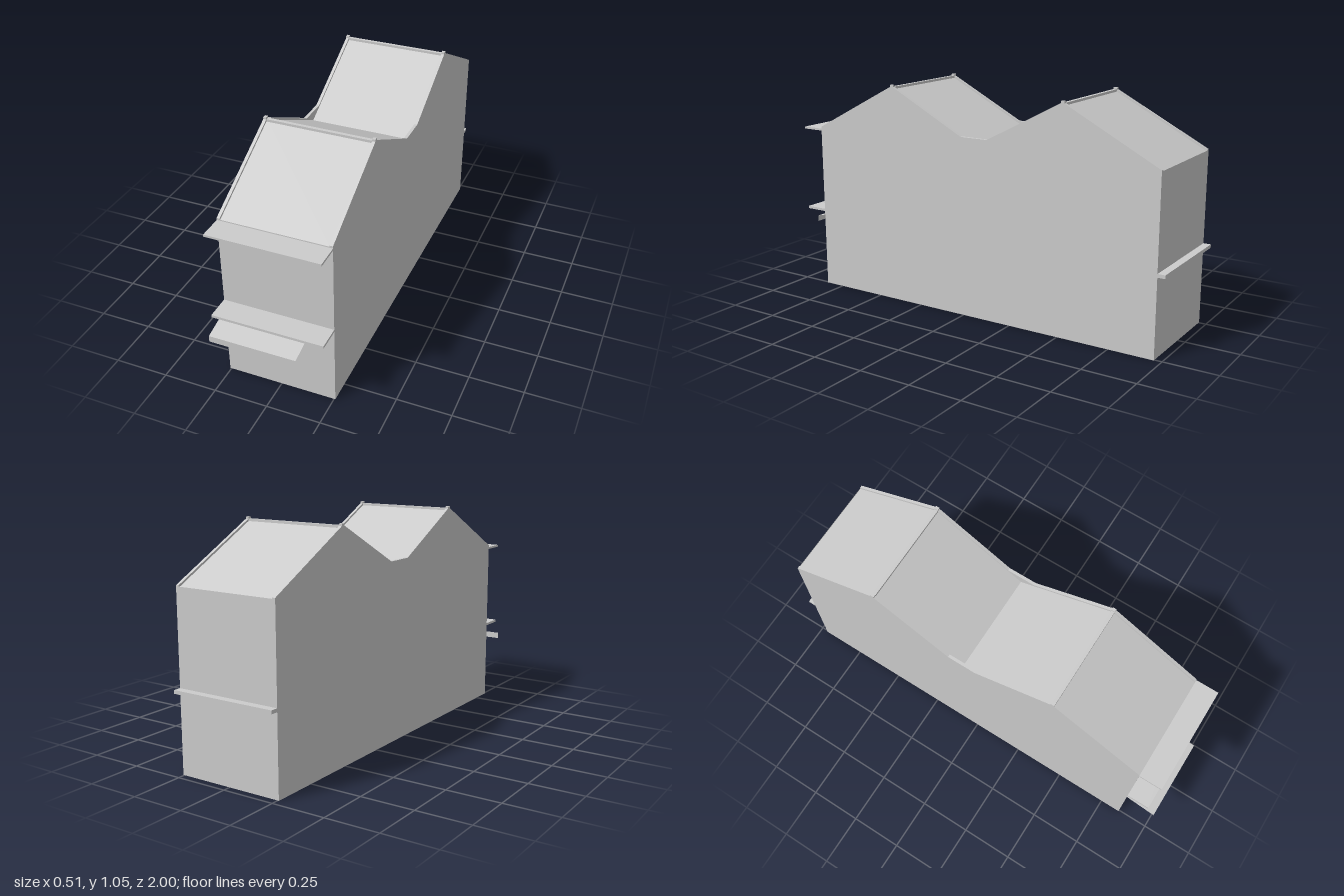
import * as THREE from 'three';

const grey = new THREE.MeshStandardMaterial({ color: 0xcccccc, flatShading: true, side: THREE.DoubleSide });
const W = 0.256;            // half width of the house
const FRONT = 0.85, BACK = -0.965;
const PARAPET = 0.014;      // parapet thickness
const BAND = 0.05;          // parapet height, measured down the wall

// Gable outline as [z, y], front to back
const gable = [[FRONT, 0.815], [0.4, 1.05], [0.01, 0.85], [-0.13, 0.85], [-0.51, 1.05], [BACK, 0.815]];
// Roof surface between the parapets as [z, y]
const roofLine = [[FRONT, 0.805], [0.4, 1.04], [-0.06, 0.805], [-0.51, 1.04], [BACK, 0.805]];
// Awning section as [z, y]
const awningLine = [[FRONT, 0.346], [1, 0.311], [1, 0.281]];

const shapeOf = (pts) => new THREE.Shape(pts.map(([z, y]) => new THREE.Vector2(z, y)));

export function createModel() {
  const model = new THREE.Group();

  const add = (name, geometry, x = 0, y = 0, z = 0) => {
    const mesh = new THREE.Mesh(geometry, grey);
    mesh.name = name;
    mesh.position.set(x, y, z);
    model.add(mesh);
    return mesh;
  };

  const box = (name, x0, x1, y0, y1, z0, z1) =>
    add(name, new THREE.BoxGeometry(x1 - x0, y1 - y0, z1 - z0), (x0 + x1) / 2, (y0 + y1) / 2, (z0 + z1) / 2);

  // Open sheet that sweeps a [z, y] line from x0 to x1
  const sheet = (name, line, x0, x1) => {
    const pos = [], index = [];
    line.forEach(([z, y], i) => {
      pos.push(x0, y, z, x1, y, z);
      const a = i * 2;
      if (i < line.length - 1) index.push(a, a + 2, a + 1, a + 1, a + 2, a + 3);
    });
    // Order faces so that a line running front to back faces upward
    if (line[line.length - 1][0] < line[0][0]) index.reverse();
    const g = new THREE.BufferGeometry();
    g.setAttribute('position', new THREE.Float32BufferAttribute(pos, 3));
    g.setIndex(index);
    const flat = g.toNonIndexed();
    flat.computeVertexNormals();
    return add(name, flat);
  };

  // Side walls, parapets and ridge finials
  const lowered = gable.map(([z, y]) => [z, y - BAND]);
  const wallShape = shapeOf([...lowered, [BACK, 0], [FRONT, 0]]);
  const bandShape = shapeOf([...gable, ...[...lowered].reverse()]);
  for (const side of [1, -1]) {
    const label = side > 0 ? 'left' : 'right';
    const wall = new THREE.ShapeGeometry(wallShape).rotateY(-Math.PI / 2);
    // Keep the front of each wall facing outward
    if (side > 0) {
      wall.index.array.reverse();
      wall.computeVertexNormals();
    }
    add(label + 'Wall', wall, side * W);

    const band = new THREE.ExtrudeGeometry(bandShape, { depth: PARAPET, bevelEnabled: false });
    band.rotateY(-Math.PI / 2);
    add(label + 'Parapet', band, side > 0 ? W : -W + PARAPET);

    for (const z of [0.4, -0.51]) {
      const x = side * (W - PARAPET / 2);
      box(label + 'RidgeFinial', x - PARAPET / 2, x + PARAPET / 2, 1.035, 1.055, z - 0.009, z + 0.009);
    }
  }

  // End walls
  add('frontWall', new THREE.PlaneGeometry(2 * W, 0.81), 0, 0.405, FRONT);
  add('backWall', new THREE.PlaneGeometry(2 * W, 0.81).rotateY(Math.PI), 0, 0.405, BACK);

  // Double pitched roof with ridge strips
  sheet('roof', roofLine, -W + PARAPET, W - PARAPET);
  for (const z of [0.4, -0.51]) {
    box('ridgeStrip', -W + PARAPET, W - PARAPET, 1.03, 1.047, z - 0.008, z + 0.008);
  }

  // Ledges on the ends
  box('eavesLedge', -W, W, 0.795, 0.805, FRONT, 0.96);
  box('shopLedge', -W, W, 0.381, 0.393, FRONT, 0.96);
  box('backLedge', -W, W, 0.365, 0.381, -1, BACK);

  // Sloping awning with a hanging valance
  sheet('awning', awningLine, -0.253, 0.148);

  return model;
}
